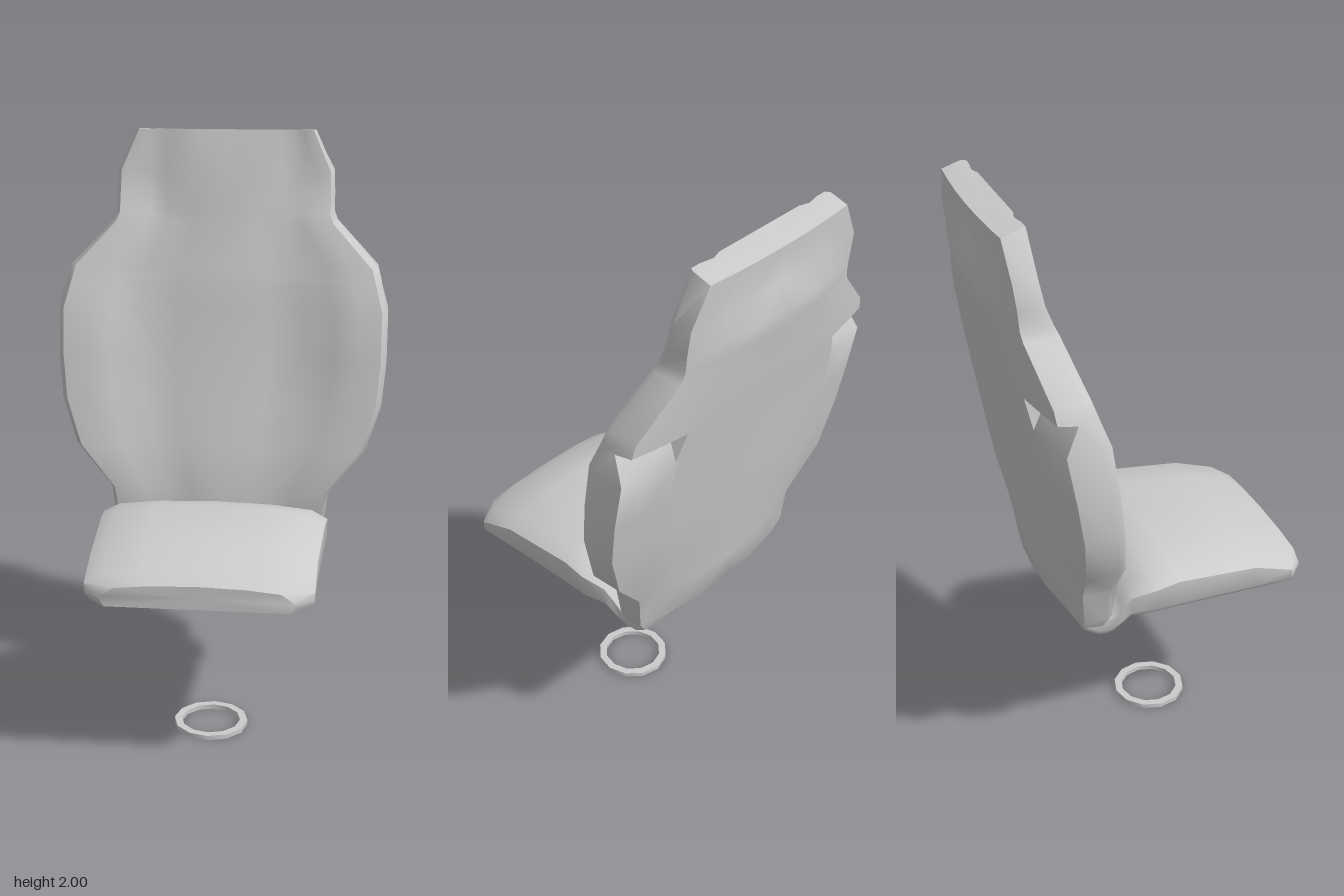
import * as THREE from 'three';
import { toCreasedNormals } from 'three/addons/utils/BufferGeometryUtils.js';

const { lerp } = THREE.MathUtils;
const material = new THREE.MeshStandardMaterial({ color: 0xcccccc });

// Skins a row of half sections (centre line -> +x side -> centre line), mirrored in x.
function loft(halves, crease) {
  const rings = halves.map((h) => [
    ...h,
    ...h.slice(1, -1).reverse().map(([x, y, z]) => [-x, y, z]),
  ]);
  const n = rings[0].length;
  const pos = [];
  const tri = (...pts) => pts.forEach((p) => pos.push(...p));
  for (let i = 0; i < rings.length - 1; i++) {
    for (let j = 0; j < n; j++) {
      const k = (j + 1) % n;
      const [a, b, c, d] = [rings[i][j], rings[i][k], rings[i + 1][k], rings[i + 1][j]];
      // mirror the diagonal so both halves match
      if (j < n / 2) { tri(a, b, c); tri(a, c, d); } else { tri(a, b, d); tri(b, c, d); }
    }
  }
  const cap = (ring, flip) => {
    const centre = [0, 1, 2].map((q) => ring.reduce((s, p) => s + p[q], 0) / n);
    ring.forEach((p, j) => {
      const q = ring[(j + 1) % n];
      if (flip) tri(centre, q, p); else tri(centre, p, q);
    });
  };
  cap(rings[0], true);
  cap(rings[rings.length - 1], false);
  const geo = new THREE.BufferGeometry();
  geo.setAttribute('position', new THREE.Float32BufferAttribute(pos, 3));
  return toCreasedNormals(geo, crease);
}

function addMesh(group, name, geometry) {
  const mesh = new THREE.Mesh(geometry, material);
  mesh.name = name;
  group.add(mesh);
  return mesh;
}

// Backrest: recessed panel, side bolsters, narrower head section, bowed rear shell.
function backrest() {
  // y, half width, panel half width, bolster z, panel z, rear edge z, rear centre z, slot depth
  const rows = [
    [0.60, 0.34, 0.17, -0.19, -0.20, -0.27, -0.29, 0],
    [0.65, 0.37, 0.18, -0.18, -0.20, -0.28, -0.335, 0],
    [0.77, 0.385, 0.19, -0.17, -0.20, -0.29, -0.355, 0],
    [0.92, 0.51, 0.24, -0.185, -0.225, -0.32, -0.38, 0],
    [1.08, 0.56, 0.28, -0.205, -0.26, -0.34, -0.407, 0],
    [1.23, 0.573, 0.29, -0.225, -0.287, -0.365, -0.43, 0],
    [1.40, 0.573, 0.285, -0.25, -0.315, -0.395, -0.457, 0],
    [1.485, 0.55, 0.27, -0.28, -0.325, -0.41, -0.471, 0.06],
    [1.495, 0.547, 0.268, -0.283, -0.327, -0.412, -0.473, 0],
    [1.54, 0.535, 0.26, -0.298, -0.335, -0.418, -0.48, 0],
    [1.69, 0.39, 0.205, -0.342, -0.368, -0.455, -0.505, 0],
    [1.72, 0.378, 0.2, -0.355, -0.372, -0.46, -0.51, 0],
    [1.78, 0.378, 0.2, -0.378, -0.382, -0.465, -0.52, 0],
    [1.86, 0.375, 0.2, -0.395, -0.394, -0.475, -0.492, 0],
    [2.00, 0.31, 0.18, -0.408, -0.406, -0.485, -0.50, 0],
  ];
  const halves = rows.map(([y, w, p, ridge, panel, edge, rear, slot]) => {
    const bulge = y > 1.9 ? 0 : 0.02;
    const yb = y > 1.9 ? y - 0.02 : y;
    const side = (t) => p + (w - p) * t;
    const rearZ = (t) => lerp(rear, edge, t * t);
    const at = (t, cut = 0) => [w * t, yb, rearZ(t) + cut];
    return [
      [0, y, panel + bulge],
      [p * 0.55, y, panel + bulge * 0.7],
      [p, y, panel],
      [side(0.35), y, ridge - 0.012],
      [side(0.65), y, ridge],
      [side(0.93), y, ridge],
      [w, y, lerp(ridge, edge, 0.2)],
      [w, yb, edge + slot],
      at(0.85, slot),
      at(0.66, slot),
      at(0.64),
      at(0.35),
      [0, yb, rear],
    ];
  });
  return loft(halves, 0.75);
}

// Seat cushion, running rearward into the curled joint under the backrest.
function cushion() {
  // z, half width, top centre y, top edge y, bottom y
  const rows = [
    [0.525, 0.305, 0.695, 0.68, 0.617],
    [0.47, 0.365, 0.73, 0.70, 0.617],
    [0.33, 0.368, 0.778, 0.745, 0.622],
    [0.05, 0.381, 0.794, 0.768, 0.632],
    [-0.035, 0.387, 0.778, 0.757, 0.635],
    [-0.11, 0.362, 0.745, 0.73, 0.622],
    [-0.14, 0.348, 0.69, 0.685, 0.585],
    [-0.165, 0.342, 0.655, 0.655, 0.563],
    [-0.19, 0.338, 0.645, 0.645, 0.555],
    [-0.22, 0.342, 0.655, 0.655, 0.562],
    [-0.265, 0.348, 0.69, 0.69, 0.595],
  ];
  const halves = rows.map(([z, w, top, edge, bottom]) => [
    [0, top, z],
    [w * 0.5, lerp(top, edge, 0.3), z],
    [w * 0.86, edge, z],
    [w, edge - 0.03, z],
    [w, bottom + 0.02, z],
    [w * 0.96, bottom, z],
    [0, bottom, z],
  ]);
  return loft(halves, 0.75);
}

// Flat ring on the floor.
function floorRing() {
  const profile = [[0.102, 0], [0.128, 0], [0.128, 0.016], [0.102, 0.016], [0.102, 0]]
    .map(([r, y]) => new THREE.Vector2(r, y));
  return toCreasedNormals(new THREE.LatheGeometry(profile, 12), 0.6);
}

export function createModel() {
  const group = new THREE.Group();
  group.name = 'bucketSeat';
  addMesh(group, 'backrest', backrest());
  addMesh(group, 'seatCushion', cushion());
  addMesh(group, 'floorRing', floorRing()).position.z = 0.098;
  return group;
}
